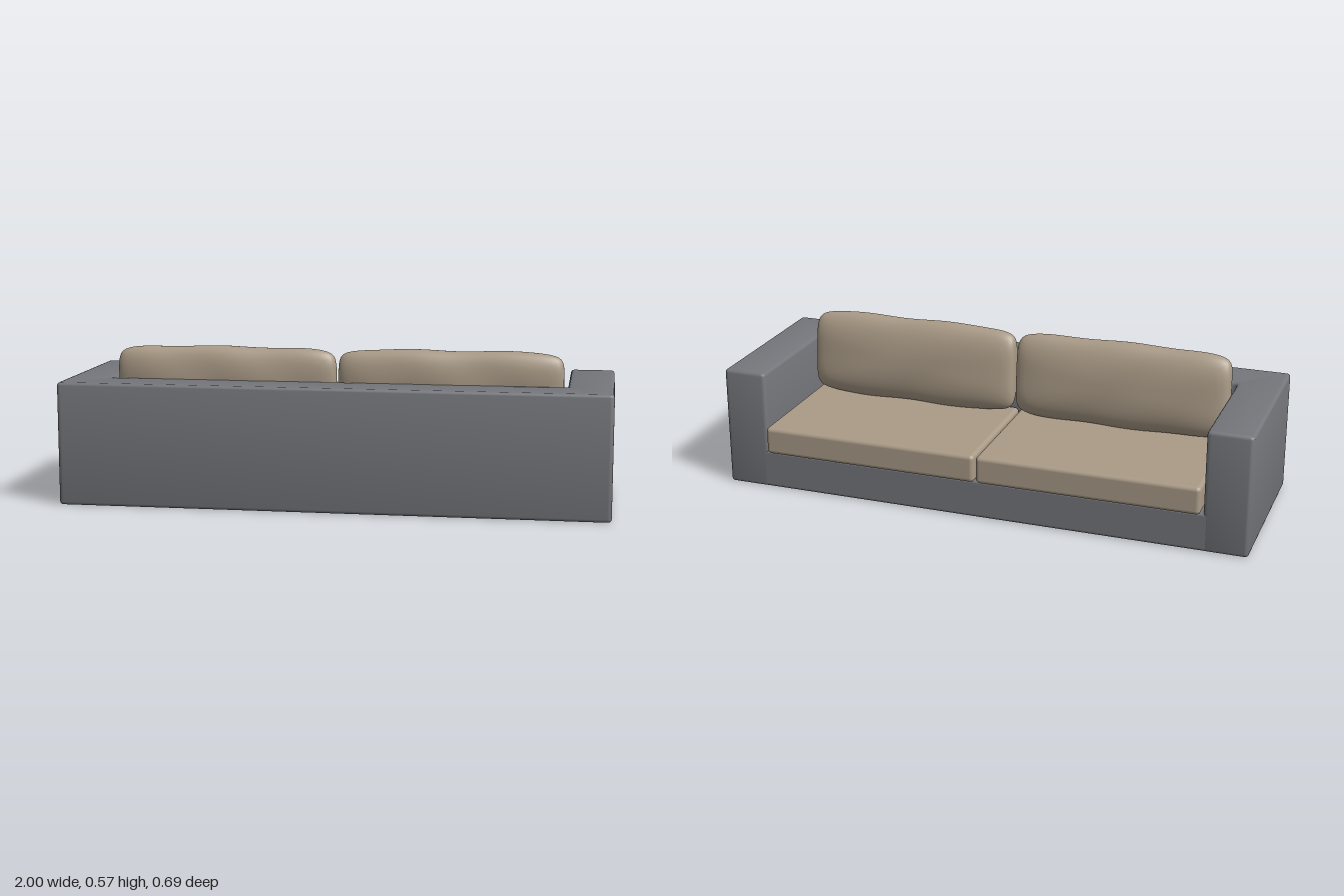
import * as THREE from 'three';
import { mergeVertices, toCreasedNormals } from 'three/addons/utils/BufferGeometryUtils.js';
import { RoundedBoxGeometry } from 'three/addons/geometries/RoundedBoxGeometry.js';

const greyFabric = new THREE.MeshStandardMaterial({ color: 0x75777c });
greyFabric.name = 'greyFabric';
const beigeFabric = new THREE.MeshStandardMaterial({ color: 0xaa9b87 });
beigeFabric.name = 'beigeFabric';

function addMesh(group, name, geometry, material, x = 0, y = 0, z = 0) {
  const mesh = new THREE.Mesh(geometry, material);
  mesh.name = name;
  mesh.position.set(x, y, z);
  group.add(mesh);
}

// Closed outline with every corner rounded by r
function roundedOutline(corners, r) {
  const pts = corners.map(([x, y]) => new THREE.Vector2(x, y));
  const shape = new THREE.Shape();
  pts.forEach((p, i) => {
    const prev = pts[(i + pts.length - 1) % pts.length];
    const next = pts[(i + 1) % pts.length];
    const a = prev.clone().sub(p).setLength(r).add(p);
    const b = next.clone().sub(p).setLength(r).add(p);
    if (i === 0) shape.moveTo(a.x, a.y);
    else shape.lineTo(a.x, a.y);
    shape.quadraticCurveTo(p.x, p.y, b.x, b.y);
  });
  shape.closePath();
  return shape;
}

// Arms and back in one U-shaped block, extruded upward
function frameGeometry() {
  const bevel = 0.012;
  const outline = roundedOutline([
    [-1, -0.345], [1, -0.345], [1, 0.32], [0.835, 0.32],
    [0.835, -0.175], [-0.835, -0.175], [-0.835, 0.32], [-1, 0.32],
  ], 0.016);
  const geometry = new THREE.ExtrudeGeometry(outline, {
    depth: 0.452 - 2 * bevel, bevelThickness: bevel, bevelSize: bevel,
    bevelOffset: -bevel, bevelSegments: 3, curveSegments: 4,
  });
  geometry.rotateX(-Math.PI / 2).translate(0, bevel, 0);
  return toCreasedNormals(geometry, 0.65);
}

// Soft pillow: a cube rounded to a blunt-ended superellipsoid, leaning on the back
function pillowGeometry(phase) {
  const box = new THREE.BoxGeometry(2, 2, 2, 40, 24, 16);
  box.deleteAttribute('normal');
  box.deleteAttribute('uv');
  const geometry = mergeVertices(box);
  const p = geometry.attributes.position;
  const n = 4, m = 2.2;
  for (let i = 0; i < p.count; i++) {
    const v = new THREE.Vector3().fromBufferAttribute(p, i);
    const rim = Math.pow(v.x ** n + v.y ** n, m / n);
    v.multiplyScalar(Math.pow(rim + Math.abs(v.z) ** m, -1 / m));
    const x = Math.sin(v.x * Math.PI / 2);
    const wave = 0.003 * Math.sin(x * 7 + v.y * 3 + phase) * (1 - x * x);
    p.setXYZ(i, x * 0.408, v.y * 0.161 + wave * v.y, v.z * (0.061 + wave) + v.y * 0.015);
  }
  geometry.computeVertexNormals();
  return geometry;
}

export function createModel() {
  const sofa = new THREE.Group();
  sofa.name = 'sofa';

  addMesh(sofa, 'armsAndBack', frameGeometry(), greyFabric);
  addMesh(sofa, 'seatBase', new RoundedBoxGeometry(1.74, 0.146, 0.55, 3, 0.012),
    greyFabric, 0, 0.073, -0.0445);

  for (const [side, s] of [['left', 1], ['right', -1]]) {
    addMesh(sofa, side + 'SeatCushion', new RoundedBoxGeometry(0.825, 0.105, 0.517, 4, 0.016),
      beigeFabric, s * 0.416, 0.198, -0.0865);
    addMesh(sofa, side + 'BackCushion', pillowGeometry(s), beigeFabric, s * 0.413, 0.41, 0.124);
  }
  return sofa;
}
